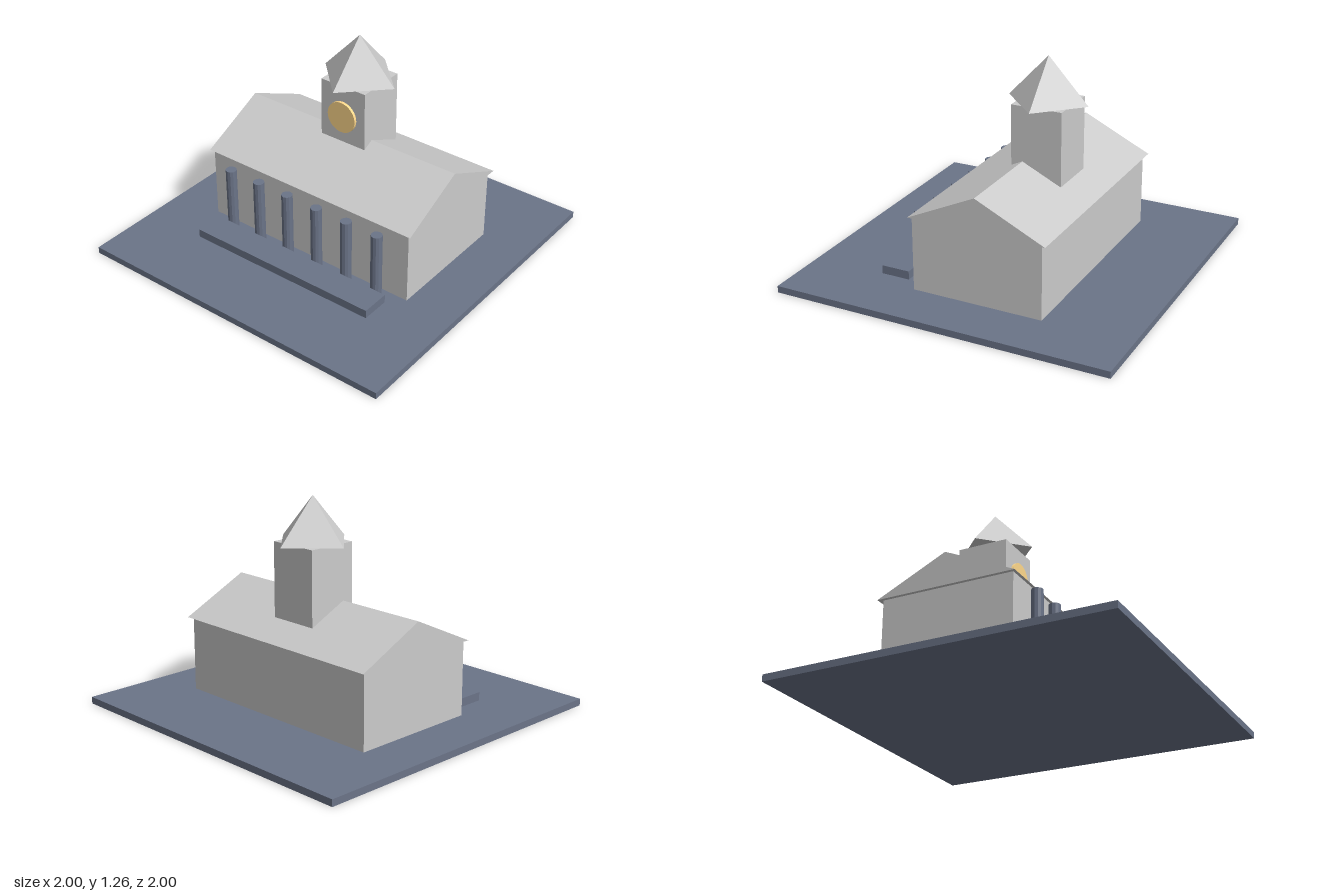
import * as THREE from 'three';

const grey = new THREE.MeshStandardMaterial({ color: 0xcccccc, flatShading: true });
const slate = new THREE.MeshStandardMaterial({ color: 0x6b7488, flatShading: true });
const gold = new THREE.MeshStandardMaterial({ color: 0xffd98c, flatShading: true });

export function createModel() {
  const group = new THREE.Group();

  const add = (name, geometry, material, x, y, z) => {
    const mesh = new THREE.Mesh(geometry, material);
    mesh.name = name;
    mesh.position.set(x, y, z);
    group.add(mesh);
    return mesh;
  };

  // Box given by its width, its bottom and top, and its back and front
  const addBox = (name, material, width, y0, y1, z0, z1) =>
    add(name, new THREE.BoxGeometry(width, y1 - y0, z1 - z0), material, 0, (y0 + y1) / 2, (z0 + z1) / 2);

  // Ground slab, main hall and front step
  addBox('groundSlab', slate, 2, 0, 0.04, -1, 1);
  addBox('hall', grey, 1.39, 0.04, 0.48, -0.475, 0.305);
  addBox('frontStep', slate, 1.216, 0.04, 0.09, 0.39, 0.563);

  // Gable roof: triangle in the z-y plane, extruded along x
  const roofWidth = 1.43;
  const gable = new THREE.Shape([
    new THREE.Vector2(-0.412, 0),
    new THREE.Vector2(0.412, 0),
    new THREE.Vector2(0, 0.195),
  ]);
  const roof = new THREE.ExtrudeGeometry(gable, { depth: roofWidth, bevelEnabled: false });
  roof.translate(0, 0, -roofWidth / 2).rotateY(Math.PI / 2);
  add('gableRoof', roof, grey, 0, 0.48, -0.09);

  // Colonnade
  const columnGeometry = new THREE.CylinderGeometry(0.033, 0.033, 0.397, 12);
  for (let i = 0; i < 6; i++) {
    add('column', columnGeometry, slate, (i - 2.5) * 0.209, 0.2385, 0.357);
  }

  // Clock tower with a pointed roof set diagonally over it
  addBox('tower', grey, 0.305, 0.48, 1, -0.326, -0.021);
  add('towerRoof', new THREE.ConeGeometry(0.243, 0.26, 4), grey, 0, 1.13, -0.174);

  // Clock face
  const clock = new THREE.CylinderGeometry(0.095, 0.095, 0.018, 32).rotateX(Math.PI / 2);
  add('clockFace', clock, gold, 0, 0.808, -0.013);

  return group;
}
